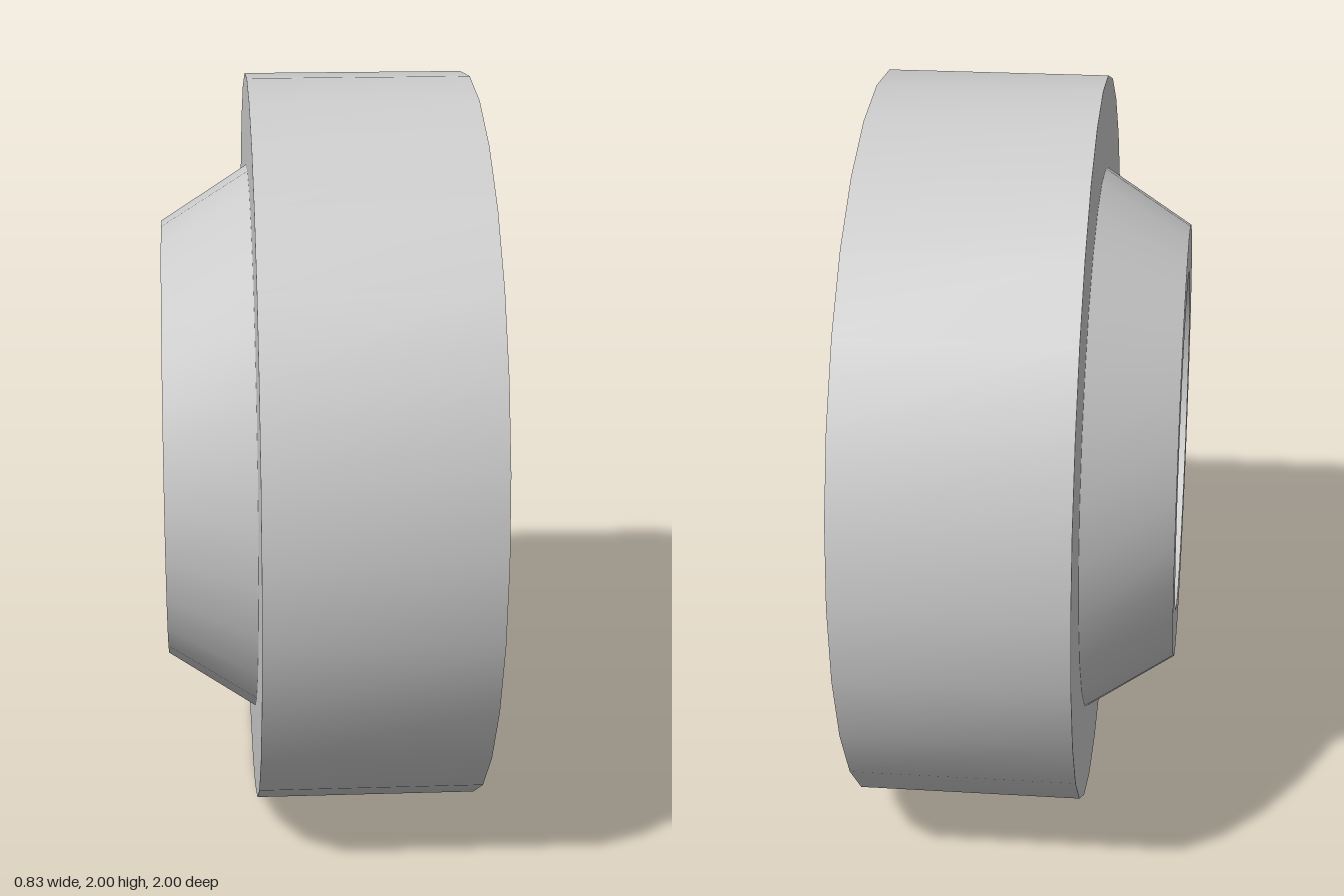
import * as THREE from 'three';
import { toCreasedNormals } from 'three/addons/utils/BufferGeometryUtils.js';

export function createModel() {
  const group = new THREE.Group();
  group.name = 'flangedBushing';

  // Closed section as [radius, position along the axis]
  const section = [
    [0.472, -0.415], // bore, hub end
    [0.6, -0.415],   // hub face
    [0.75, -0.18],   // foot of the tapered hub
    [1, -0.18],      // shoulder of the wide ring
    [1, 0.415],      // rim
    [0.472, 0.415],  // bore, flat end
    [0.472, -0.415],
  ].map(([r, a]) => new THREE.Vector2(r, a));

  // Turn the section, smooth around the axis and sharp at its corners
  const geometry = toCreasedNormals(new THREE.LatheGeometry(section, 28), Math.PI / 6);
  geometry.rotateZ(-Math.PI / 2); // lay the axis along x

  const ring = new THREE.Mesh(geometry, new THREE.MeshStandardMaterial({ color: 0xcccccc }));
  ring.name = 'ringWithTaperedHub';
  ring.position.y = 1;
  group.add(ring);
  return group;
}
